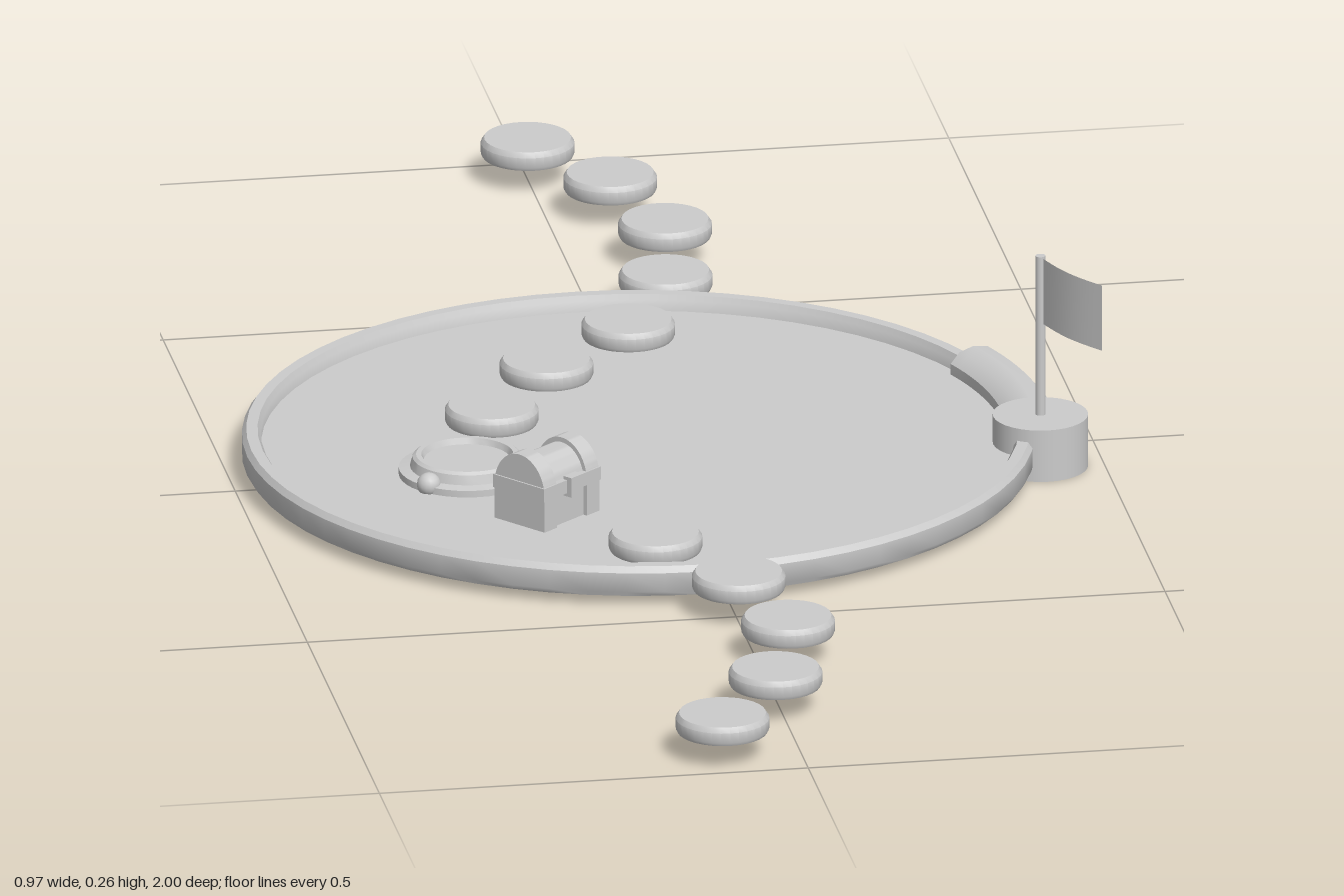
import * as THREE from 'three';
import { toCreasedNormals } from 'three/addons/utils/BufferGeometryUtils.js';

const grey = new THREE.MeshStandardMaterial({ color: 0xcccccc, side: THREE.DoubleSide });

function add(parent, name, geometry, x = 0, y = 0, z = 0) {
  const mesh = new THREE.Mesh(geometry, grey);
  mesh.name = name;
  mesh.position.set(x, y, z);
  parent.add(mesh);
  return mesh;
}

const toPoints = (list) => list.map(([r, y]) => new THREE.Vector2(r, y));

function lathe(profile, segments = 32, start = 0, length = Math.PI * 2) {
  return toCreasedNormals(new THREE.LatheGeometry(toPoints(profile), segments, start, length), 0.6);
}

// Flagpole base, pole and bent flag
function makeFlag() {
  const flag = new THREE.Group();
  flag.name = 'flagMarker';
  flag.position.set(0.427, 0, 0.07);
  add(flag, 'flagBase', new THREE.CylinderGeometry(0.055, 0.055, 0.063, 32), 0, 0.0315, 0);
  add(flag, 'flagPole', new THREE.CylinderGeometry(0.006, 0.006, 0.195, 12), 0, 0.16, 0);
  const cloth = new THREE.PlaneGeometry(0.112, 0.08, 10, 1);
  cloth.translate(0.056, 0, 0);
  const p = cloth.attributes.position;
  for (let i = 0; i < p.count; i++) p.setZ(i, 0.006 * Math.sin((p.getX(i) / 0.112) * Math.PI));
  cloth.computeVertexNormals();
  add(flag, 'flagCloth', cloth, 0.002, 0.215, 0.003).rotation.y = -1.08;
  return flag;
}

// Chest with barrel lid, end bands and latch; its front faces local +z
function makeChest() {
  const chest = new THREE.Group();
  chest.name = 'chest';
  chest.position.set(-0.173, 0.032, 0.217);
  chest.rotation.y = 0.69;

  const lid = (radius, width) => {
    const shape = new THREE.Shape();
    shape.moveTo(radius, 0);
    shape.absarc(0, 0, radius, 0, Math.PI, false);
    shape.closePath();
    const g = new THREE.ExtrudeGeometry(shape, { depth: width, bevelEnabled: false, curveSegments: 16 });
    g.translate(0, 0, -width / 2);
    g.rotateY(Math.PI / 2);
    g.scale(1, 1.15, 1);
    return toCreasedNormals(g, 0.6);
  };
  add(chest, 'chestBody', new THREE.BoxGeometry(0.086, 0.046, 0.066), 0, 0.023, 0);
  add(chest, 'chestLid', lid(0.033, 0.086), 0, 0.043, 0);
  add(chest, 'chestRim', new THREE.BoxGeometry(0.1, 0.016, 0.078), 0, 0.046, 0);
  for (const side of [-1, 1]) {
    add(chest, 'chestLidBand', lid(0.038, 0.022), side * 0.037, 0.043, 0);
    add(chest, 'chestBodyBand', new THREE.BoxGeometry(0.022, 0.044, 0.076), side * 0.037, 0.022, 0);
  }
  add(chest, 'chestLatch', new THREE.BoxGeometry(0.02, 0.024, 0.012), 0, 0.046, 0.04);
  return chest;
}

export function createModel() {
  const model = new THREE.Group();
  model.name = 'gameBoard';
  const cx = -0.03;

  // Round floor with a raised rim
  const floor = new THREE.CircleGeometry(0.44, 64);
  floor.rotateX(-Math.PI / 2);
  add(model, 'floor', floor, cx, 0.029, 0);
  add(model, 'rim', lathe([
    [0.436, 0.012], [0.452, 0.012], [0.456, 0.018], [0.456, 0.041],
    [0.451, 0.048], [0.438, 0.048], [0.434, 0.042], [0.434, 0.014], [0.436, 0.012],
  ], 64), cx, 0, 0);

  // Curved cover along the rim, closed at both ends
  const section = [
    [0.428, 0.005], [0.48, 0.005], [0.484, 0.012], [0.484, 0.042],
    [0.474, 0.054], [0.455, 0.058], [0.436, 0.054], [0.424, 0.042], [0.424, 0.012], [0.428, 0.005],
  ];
  const [start, end] = [1.42, 1.965];
  const cover = new THREE.Group();
  cover.name = 'rimCover';
  cover.position.x = cx;
  add(cover, 'coverShell', lathe(section, 14, start, end - start));
  for (const phi of [start, end]) {
    const cap = new THREE.ShapeGeometry(new THREE.Shape(toPoints(section)));
    add(cover, 'coverEnd', cap).rotation.y = phi - Math.PI / 2;
  }
  model.add(cover);

  // Path of hollow stepping stones
  const stone = lathe([[0.052, 0.03], [0.054, 0.034], [0.054, 0.046], [0.05, 0.052], [0, 0.052]]);
  const path = [
    [0, -0.947], [0.075, -0.82], [0.112, -0.66], [0.085, -0.495], [0.016, -0.344], [-0.098, -0.233],
    [-0.185, -0.095], [-0.068, 0.345], [0.005, 0.488], [0.037, 0.64], [-0.005, 0.803], [-0.09, 0.941],
  ];
  for (const [x, z] of path) add(model, 'steppingStone', stone, x, 0, z);

  // Stepped round plate with a small knob beside it
  add(model, 'ringPlate', lathe([
    [0.079, 0.029], [0.079, 0.037], [0.066, 0.039], [0.063, 0.05],
    [0.059, 0.053], [0.053, 0.053], [0.05, 0.046], [0, 0.046],
  ], 40), -0.24, 0, 0.063);
  add(model, 'ringKnob', new THREE.SphereGeometry(0.014, 16, 10), -0.293, 0.037, 0.112);

  model.add(makeChest(), makeFlag());
  return model;
}
